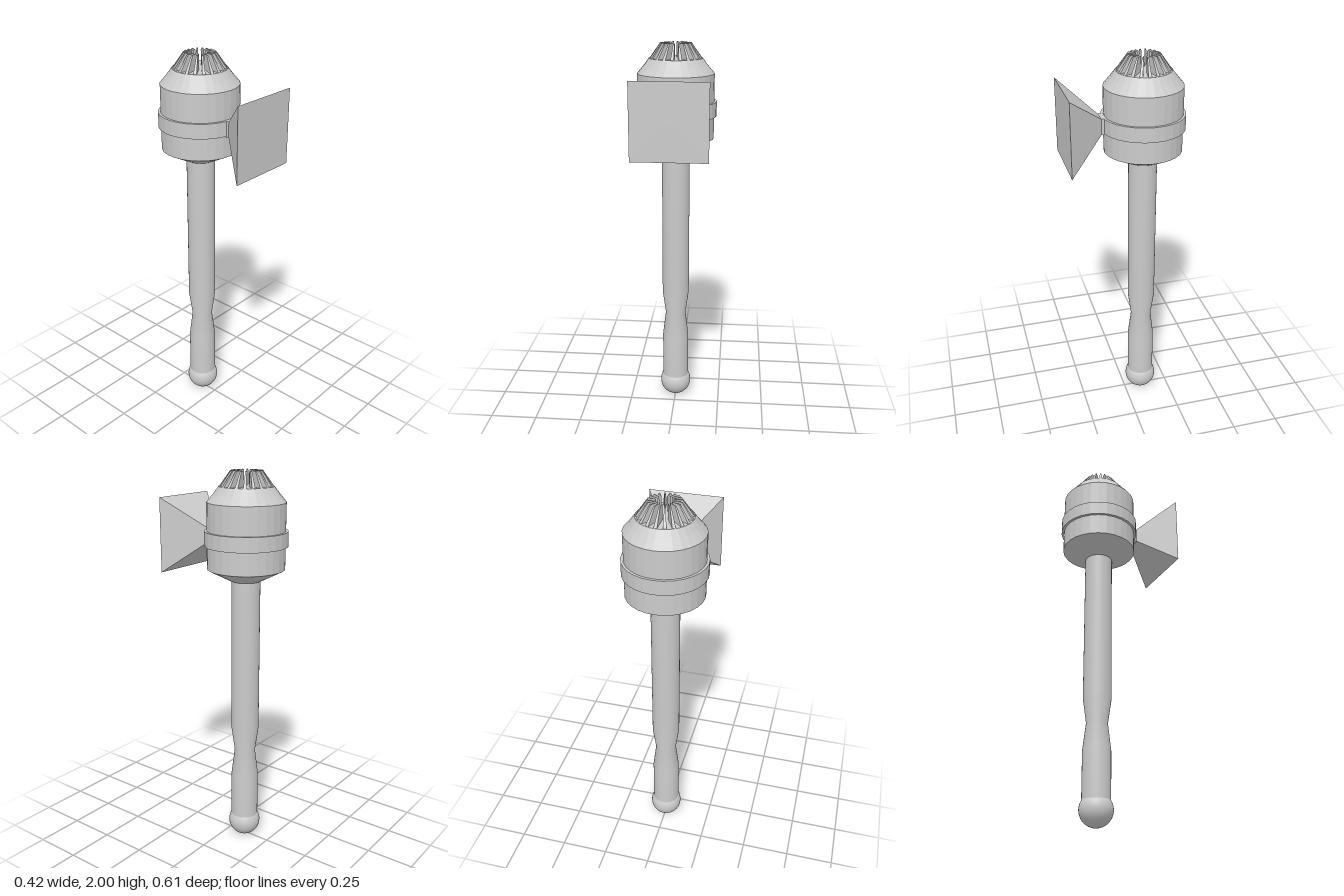
import * as THREE from 'three';

const AXIS_Z = -0.095;

export function createModel() {
  const model = new THREE.Group();
  const flat = new THREE.MeshStandardMaterial({ color: 0xcccccc, flatShading: true });
  const smooth = new THREE.MeshStandardMaterial({ color: 0xcccccc });

  const add = (name, geometry, material, y = 0, z = AXIS_Z) => {
    const mesh = new THREE.Mesh(geometry, material);
    mesh.name = name;
    mesh.position.set(0, y, z);
    model.add(mesh);
    return mesh;
  };
  const lathe = (points, sides) =>
    new THREE.LatheGeometry(points.map(([r, y]) => new THREE.Vector2(r, y)), sides);

  // Handle with a pinched grip, and its ball end
  add('handle', lathe([
    [0.072, 0.08], [0.072, 0.38], [0.055, 0.52], [0.073, 0.65], [0.073, 1.47],
  ], 32), smooth);
  add('pommel', new THREE.SphereGeometry(0.085, 32, 20), smooth, 0.088);

  // Head: underside cone, drum, shoulder and the floor of the slotted cap
  add('head', lathe([
    [0, 1.46], [0.08, 1.46], [0.197, 1.52], [0.197, 1.85],
    [0.163, 1.89], [0.137, 1.925], [0, 1.925],
  ], 28), flat);

  // Clamp band around the drum
  add('band', lathe([
    [0.196, 1.635], [0.21, 1.635], [0.21, 1.71], [0.196, 1.71],
  ], 28), flat);

  // Cap fins: wedges that sharpen toward the open centre and slope on the outside
  const fins = new THREE.Group();
  fins.name = 'capFins';
  fins.position.z = AXIS_Z;
  const finGeometry = makeFin();
  const count = 20;
  for (let i = 0; i < count; i++) {
    const fin = new THREE.Mesh(finGeometry, flat);
    fin.name = 'capFin';
    fin.rotation.y = -i * Math.PI * 2 / count;
    fins.add(fin);
  }
  model.add(fins);

  // Square horn on the front, joined to the band by a short neck
  add('hornNeck', new THREE.BoxGeometry(0.08, 0.08, 0.04), flat, 1.671, 0.107);
  const horn = new THREE.CylinderGeometry(0.19 * Math.SQRT2, 0.04 * Math.SQRT2, 0.18, 4);
  horn.rotateY(Math.PI / 4).rotateX(Math.PI / 2);
  add('horn', horn, flat, 1.671, 0.215);

  return model;
}

// One fin pointing along +x: a triangular prism whose upper outer edge leans inward
function makeFin() {
  const inner = 0.04, low = 0.137, high = 0.08, spread = 0.124;
  const y0 = 1.92, y1 = 2;
  const topHalf = spread * low * (high - inner) / (low - inner);
  const a = [inner, y0, 0], b = [low, y0, 0];
  const c = [low * Math.cos(spread), y0, low * Math.sin(spread)];
  const d = [inner, y1, 0], e = [high, y1, 0], f = [high, y1, topHalf];
  const triangles = [
    d, f, e,            // top
    a, b, c,            // base
    a, d, e, a, e, b,   // straight side
    a, c, f, a, f, d,   // angled side
    b, e, f, b, f, c,   // sloped outside
  ];
  const geometry = new THREE.BufferGeometry();
  geometry.setAttribute('position', new THREE.Float32BufferAttribute(triangles.flat(), 3));
  geometry.computeVertexNormals();
  return geometry;
}
